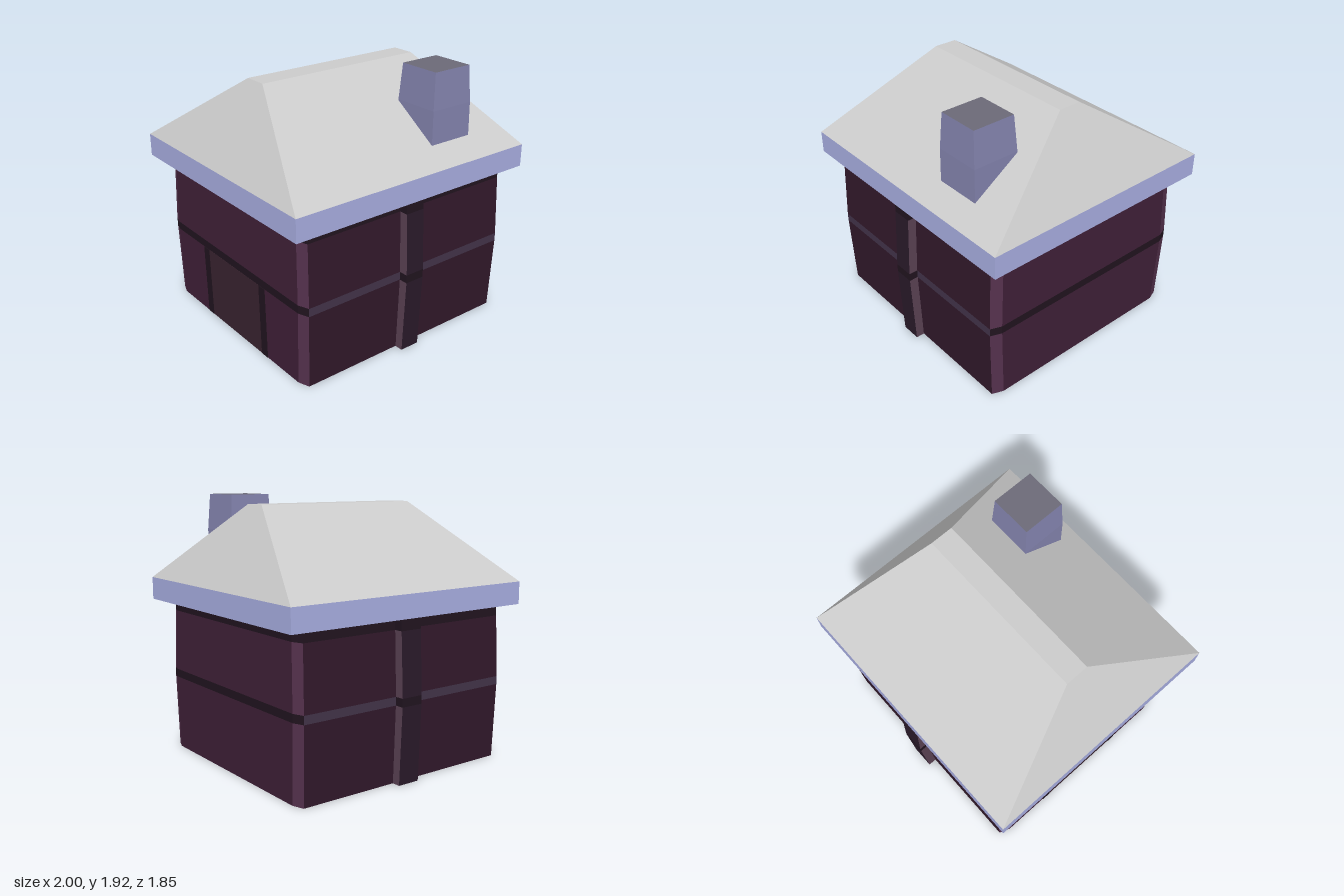
import * as THREE from 'three';

const C = {
  grey: 0xcccccc, trim: 0xaab0e4, chimney: 0x8585b0, chimneyTop: 0x6c6a78,
  frontWall: 0x32192b, sideWall: 0x402038, corner: 0x56324e, dark: 0x21141f,
  frontBand: 0x43344a, pilaster: 0x2a1a2a, pilasterSide: 0x5c4355, base: 0x5a3a4c, door: 0x3a2430,
};

const mat = (color) => new THREE.MeshStandardMaterial({ color, flatShading: true });

// Horizontal cross-sections, anticlockwise from above, starting with the front edge
const rect = (x0, x1, z0, z1, y) => [[x0, y, z1], [x1, y, z1], [x1, y, z0], [x0, y, z0]];
const chamfered = (hx, hz, cx, cz, y) => [
  [-hx + cx, y, hz], [hx - cx, y, hz], [hx, y, hz - cz], [hx, y, -hz + cz],
  [hx - cx, y, -hz], [-hx + cx, y, -hz], [-hx, y, -hz + cz], [-hx, y, hz - cz],
];

// Stacks cross-sections into a flat-faced solid; colorOf(level, side) colours each panel
function loft(name, rings, colorOf, bottomColor, topColor) {
  const faces = new Map();
  const tri = (color, ...pts) => {
    if (!faces.has(color)) faces.set(color, []);
    faces.get(color).push(...pts.flat());
  };
  const n = rings[0].length;
  for (let i = 0; i < rings.length - 1; i++) {
    for (let j = 0; j < n; j++) {
      const k = (j + 1) % n, lo = rings[i], hi = rings[i + 1], color = colorOf(i, j);
      tri(color, lo[j], lo[k], hi[k]);
      tri(color, lo[j], hi[k], hi[j]);
    }
  }
  const top = rings[rings.length - 1], bottom = rings[0];
  for (let j = 1; j < n - 1; j++) {
    tri(bottomColor, bottom[0], bottom[j + 1], bottom[j]);
    tri(topColor, top[0], top[j], top[j + 1]);
  }
  const group = new THREE.Group();
  group.name = name;
  for (const [color, pos] of faces) {
    const geo = new THREE.BufferGeometry();
    geo.setAttribute('position', new THREE.Float32BufferAttribute(pos, 3));
    geo.computeVertexNormals();
    const mesh = new THREE.Mesh(geo, mat(color));
    mesh.name = name + 'Panels';
    group.add(mesh);
  }
  return group;
}

export function createModel() {
  const house = new THREE.Group();
  house.name = 'house';

  // Walls: bulging block with chamfered corners, a middle band and a dark top band
  const levels = [[0, 0], [0.55, 1], [0.61, 1], [1.06, 0.15], [1.14, 0]];
  house.add(loft('walls',
    levels.map(([y, b]) => chamfered(0.885 + 0.009 * b, 0.837 + 0.02 * b, 0.03, 0.08, y)),
    (level, side) => {
      const faceFrontOrBack = side % 4 === 0;
      if (level === 3) return C.dark;
      if (level === 1) return faceFrontOrBack ? C.frontBand : C.dark;
      if (side % 2) return C.corner;
      return faceFrontOrBack ? C.frontWall : C.sideWall;
    }, C.base, C.grey));

  // Pilasters on the front and back, following the bulge
  for (const [name, x0, x1, s] of [['frontPilaster', -0.09, 0.06, 1], ['backPilaster', -0.055, 0.115, -1]]) {
    house.add(loft(name,
      levels.map(([y, b]) => {
        const outer = s * (0.9 + 0.024 * b), inner = s * 0.8;
        return rect(x0, x1, Math.min(inner, outer), Math.max(inner, outer), y);
      }),
      (level, side) => {
        if (level === 1 || level === 3) return C.dark;
        return side % 2 ? C.pilasterSide : C.pilaster;
      }, C.grey, C.grey));
  }

  // Doorway on the right wall, leaning out with the bulge
  const doorway = new THREE.Group();
  doorway.name = 'doorway';
  const doorPart = (name, z, width, proud, color) => {
    const x = [-0.885 - proud, -0.894 - proud];
    doorway.add(loft(name, [
      rect(x[0], -0.87, z - width / 2, z + width / 2, 0.001),
      rect(x[1], -0.87, z - width / 2, z + width / 2, 0.55),
    ], () => color, color, color));
  };
  doorPart('door', 0, 0.66, 0.002, C.door);
  for (const s of [-1, 1]) doorPart('doorPost', s * 0.36, 0.07, 0.004, C.dark);
  house.add(doorway);

  // Roof: eaves slab below a hipped roof with a flat ridge
  house.add(loft('roof', [
    rect(-1, 1, -0.922, 0.922, 1.14),
    rect(-1, 1, -0.922, 0.922, 1.305),
    rect(-0.657, 0.657, -0.08, 0.092, 1.866),
  ], (level) => (level === 0 ? C.trim : C.grey), C.grey, C.grey));

  // Chimney, tapering towards the top
  house.add(loft('chimney', [
    rect(0.258, 0.61, 0.404, 0.756, 1.36),
    rect(0.26, 0.608, 0.406, 0.754, 1.66),
    rect(0.277, 0.592, 0.423, 0.741, 1.922),
  ], () => C.chimney, C.chimney, C.chimneyTop));

  return house;
}
